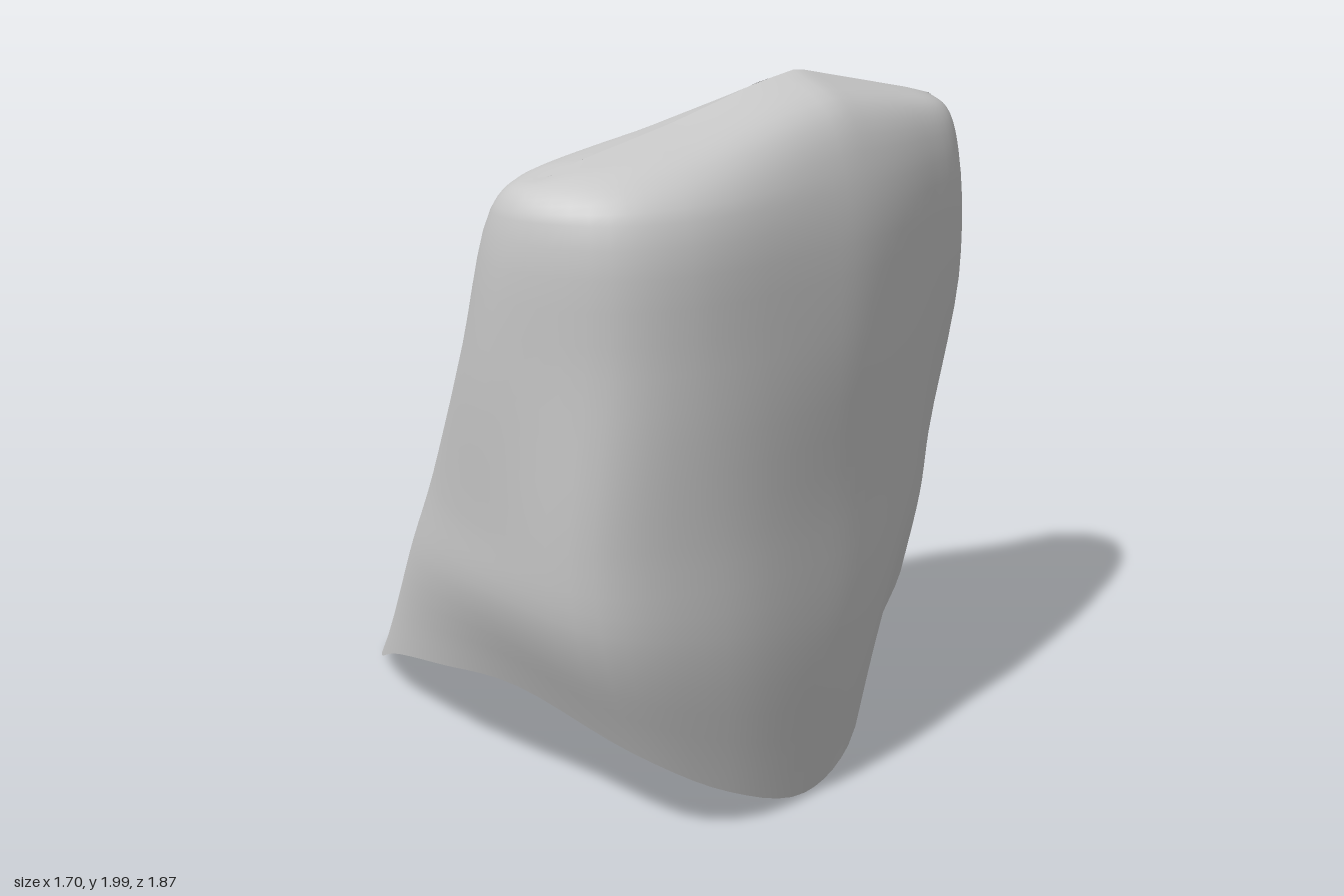
import * as THREE from 'three';

const v = (x, y, z) => new THREE.Vector3(x, y, z);

// Open lower rim [x, y, z]: front lobe, left notch, back lobe, right notch
const rim = [
  [0.03, 0.02, 0.73], [0.22, 0.09, 0.66], [0.41, 0.335, 0.5], [0.6, 0.51, 0.37], [0.75, 0.76, -0.01],
  [0.7, 0.8, -0.16], [0.35, 0.7, -0.405], [0.1, 0.5, -0.62], [-0.16, 0.24, -0.87], [-0.36, 0.08, -0.935],
  [-0.6, 0.005, -0.85], [-0.74, 0.1, -0.56], [-0.81, 0.25, -0.22], [-0.8, 0.34, 0.1], [-0.72, 0.4, 0.46],
  [-0.52, 0.28, 0.75], [-0.25, 0.12, 0.79],
];

// Outward swell of the walls just above the rim, one value per station
const swell = [0.025, 0.02, 0.02, 0.01, 0, 0, 0, 0, 0, 0, 0, 0.01, 0.02, 0.03, 0.04, 0.05, 0.035];

// Horizontal cross-sections [x, z], with the same stations as the rim
const waist = [
  [0.05, 0.8], [0.3, 0.68], [0.54, 0.51], [0.7, 0.33], [0.75, 0.09], [0.69, -0.1], [0.42, -0.28],
  [0.1, -0.31], [-0.2, -0.27], [-0.39, -0.2], [-0.57, -0.1], [-0.7, -0.03], [-0.79, 0.07],
  [-0.84, 0.25], [-0.83, 0.54], [-0.68, 0.85], [-0.34, 0.905],
];
const chest = [
  [0.06, 0.81], [0.3, 0.69], [0.55, 0.53], [0.77, 0.36], [0.84, 0.15], [0.75, -0.04], [0.48, -0.17],
  [0.12, -0.14], [-0.14, -0.07], [-0.33, 0.01], [-0.52, 0.12], [-0.68, 0.23], [-0.79, 0.34],
  [-0.84, 0.45], [-0.83, 0.64], [-0.65, 0.88], [-0.38, 0.93],
];
const shoulder = [
  [0.06, 0.765], [0.3, 0.66], [0.55, 0.51], [0.75, 0.36], [0.83, 0.18], [0.74, 0.02], [0.44, 0.05],
  [0.1, 0.17], [-0.14, 0.24], [-0.32, 0.29], [-0.5, 0.35], [-0.66, 0.42], [-0.76, 0.49],
  [-0.81, 0.57], [-0.8, 0.7], [-0.64, 0.875], [-0.4, 0.91],
];

// Height of the top ridge along x
const ridgeHeights = [[-0.8, 1.78], [-0.6, 1.84], [-0.3, 1.9], [0, 1.975], [0.15, 2], [0.3, 1.97], [0.6, 1.91], [0.8, 1.86]];
function ridgePoint(x) {
  let i = 0;
  while (i < ridgeHeights.length - 2 && x > ridgeHeights[i + 1][0]) i++;
  const [x0, y0] = ridgeHeights[i], [x1, y1] = ridgeHeights[i + 1];
  return v(x, y0 + (y1 - y0) * (x - x0) / (x1 - x0), 0.47 - 0.28 * x);
}

function shellGeometry() {
  const level = (points, y) => points.map(([x, z]) => v(x, y, z));
  const rimRow = rim.map(p => v(...p));
  const waistRow = level(waist, 0.9);
  const hipRow = rimRow.map((p, i) => {
    const out = v(p.x, 0, p.z - 0.3).setLength(swell[i]);
    return p.clone().lerp(waistRow[i], 0.55).add(out);
  });
  const rows = [rimRow, hipRow, waistRow, level(chest, 1.35), level(shoulder, 1.72)];

  // Smooth each section around
  const around = rim.length * 5, up = 30;
  const rings = rows.map(r => {
    const curve = new THREE.CatmullRomCurve3(r, true, 'centripetal');
    return Array.from({ length: around }, (_, i) => curve.getPoint(i / around));
  });
  // Close the top: a rounded edge, then both sides meet on the ridge
  const top = rings[rings.length - 1];
  const ridge = top.map(p => ridgePoint(p.x * 0.84));
  const crown = top.map((p, i) => {
    const c = p.clone().lerp(ridge[i], 0.33);
    c.y = p.y + (ridge[i].y - p.y) * 0.7;
    return c;
  });
  rings.push(crown, ridge);

  // Smooth each column upward
  const positions = [], index = [];
  for (let i = 0; i < around; i++) {
    const column = new THREE.CatmullRomCurve3(rings.map(r => r[i]), false, 'centripetal');
    for (let j = 0; j <= up; j++) {
      const p = column.getPoint(j / up);
      positions.push(p.x, Math.max(0, p.y), p.z);
      if (j === up) continue;
      const a = i * (up + 1) + j, b = ((i + 1) % around) * (up + 1) + j;
      index.push(a, b, b + 1, a, b + 1, a + 1);
    }
  }
  const geometry = new THREE.BufferGeometry();
  geometry.setAttribute('position', new THREE.Float32BufferAttribute(positions, 3));
  geometry.setIndex(index);
  geometry.computeVertexNormals();
  return geometry;
}

export function createModel() {
  const group = new THREE.Group();
  group.name = 'toothShell';
  const paleGrey = new THREE.MeshStandardMaterial({ color: 0xc8c8c8, side: THREE.DoubleSide });
  paleGrey.name = 'pale grey';
  const shell = new THREE.Mesh(shellGeometry(), paleGrey);
  shell.name = 'crownShell';
  group.add(shell);
  return group;
}
